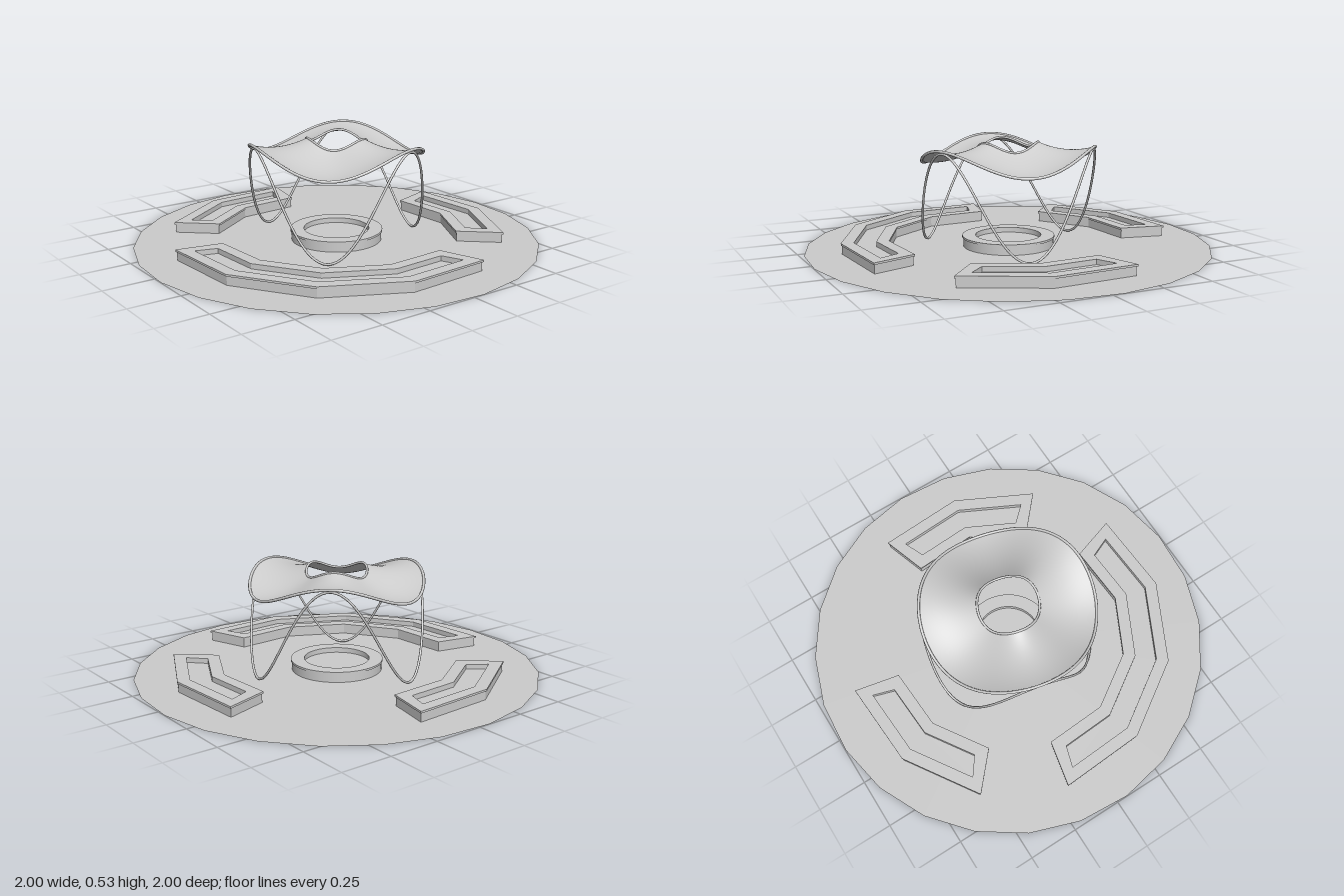
import * as THREE from 'three';

const RAD = Math.PI / 180;
const TURN = 18.3 * RAD; // direction of the first canopy crest
const grey = new THREE.MeshStandardMaterial({ color: 0xcccccc });
const greyThin = new THREE.MeshStandardMaterial({ color: 0xcccccc, side: THREE.DoubleSide });

const wave = (a) => Math.cos(3 * (a - TURN));
const polar = (r, a) => new THREE.Vector2(r * Math.cos(a), r * Math.sin(a));

function part(name, geometry, material = grey) {
  const mesh = new THREE.Mesh(geometry, material);
  mesh.name = name;
  return mesh;
}

// Point of the canopy: t runs from the inner opening (0) to the outer rim (1)
function canopyPoint(t, a) {
  const r = 0.148 + t * (0.425 - 0.148);
  const inner = 0.502 + 0.02 * wave(a);
  const outer = 0.455 + 0.053 * wave(a);
  const y = inner + (outer - inner) * t - 0.1 * t * (1 - t);
  return new THREE.Vector3(r * Math.cos(a), y, -r * Math.sin(a));
}

function canopyGeometry(rings = 16, steps = 144) {
  const positions = [], index = [];
  for (let i = 0; i <= rings; i++) {
    for (let j = 0; j < steps; j++) {
      positions.push(...canopyPoint(i / rings, (j / steps) * Math.PI * 2).toArray());
      if (i === rings) continue;
      const k = (j + 1) % steps;
      const a = i * steps + j, b = a + steps, c = (i + 1) * steps + k, d = i * steps + k;
      index.push(a, b, c, a, c, d);
    }
  }
  const g = new THREE.BufferGeometry();
  g.setAttribute('position', new THREE.Float32BufferAttribute(positions, 3));
  g.setIndex(index);
  g.computeVertexNormals();
  return g;
}

// Closed round bar following a rule of the angle
function loopBar(rule, radius) {
  const points = [];
  for (let i = 0; i < 60; i++) points.push(rule((i / 60) * Math.PI * 2));
  return new THREE.TubeGeometry(new THREE.CatmullRomCurve3(points, true), 180, radius, 8, true);
}

// Corners of a faceted arc band, inset evenly on all sides by d
function bandCorners(start, count, d) {
  const half = 15 * RAD, edges = [];
  for (const [r, sign] of [[0.826, -1], [0.594, 1]]) {
    const apothem = r * Math.cos(half) + sign * d;
    const e = Math.asin(d / r);
    const row = [];
    for (let i = 0; i <= count; i++) {
      const shift = i === 0 ? e : i === count ? -e : 0;
      const radius = apothem / Math.cos(half - Math.abs(shift));
      row.push(polar(radius, start + i * 2 * half + shift));
    }
    edges.push(row);
  }
  return [...edges[0], ...edges[1].reverse()];
}

function slab(outline, hole, y, height) {
  const shape = new THREE.Shape(outline);
  if (hole) shape.holes.push(new THREE.Path(hole));
  const g = new THREE.ExtrudeGeometry(shape, { depth: height, bevelEnabled: false });
  return g.rotateX(-Math.PI / 2).translate(0, y, 0);
}

// Faceted bench with a thin overhanging top and a sunken bed
function bench(name, startDegrees, count) {
  const start = startDegrees * RAD;
  const group = new THREE.Group();
  group.name = name;
  const hole = bandCorners(start, count, 0.06);
  group.add(
    part('benchBody', slab(bandCorners(start, count, 0.005), hole, 0, 0.043)),
    part('benchTop', slab(bandCorners(start, count, 0), hole, 0.043, 0.01)),
    part('benchBed', slab(hole, null, 0.002, 0.026))
  );
  return group;
}

export function createModel() {
  const model = new THREE.Group();
  model.name = 'pavilion';

  // Flat 24-sided floor
  const floor = new THREE.CircleGeometry(1, 24).rotateX(-Math.PI / 2).rotateY(3.3 * RAD);
  model.add(part('floor', floor, greyThin));

  // Benches around the floor
  model.add(bench('frontBench', -101.7, 4), bench('backBench', 48.3, 2), bench('rightBench', 168.3, 2));

  // Round basin in the middle, each ring with its own flat normals
  const profile = [[0.224, 0], [0.224, 0.043], [0.229, 0.043], [0.229, 0.053],
    [0.162, 0.053], [0.162, 0.028], [0, 0.028]].map(([x, y]) => new THREE.Vector2(x, y));
  const basin = new THREE.Group();
  basin.name = 'basin';
  for (let i = 0; i < profile.length - 1; i++) {
    basin.add(part('basinRing', new THREE.LatheGeometry([profile[i], profile[i + 1]], 64), greyThin));
  }
  model.add(basin);

  // Wavy canopy with rounded edges
  model.add(
    part('canopy', canopyGeometry(), greyThin),
    part('canopyOuterRim', loopBar((a) => canopyPoint(1, a), 0.007)),
    part('canopyInnerRim', loopBar((a) => canopyPoint(0, a), 0.006))
  );

  // One bar rising and falling three times forms the legs
  model.add(part('legs', loopBar((a) => new THREE.Vector3(
    0.423 * Math.cos(a), 0.253 + 0.245 * wave(a), -0.423 * Math.sin(a)), 0.006)));

  return model;
}
